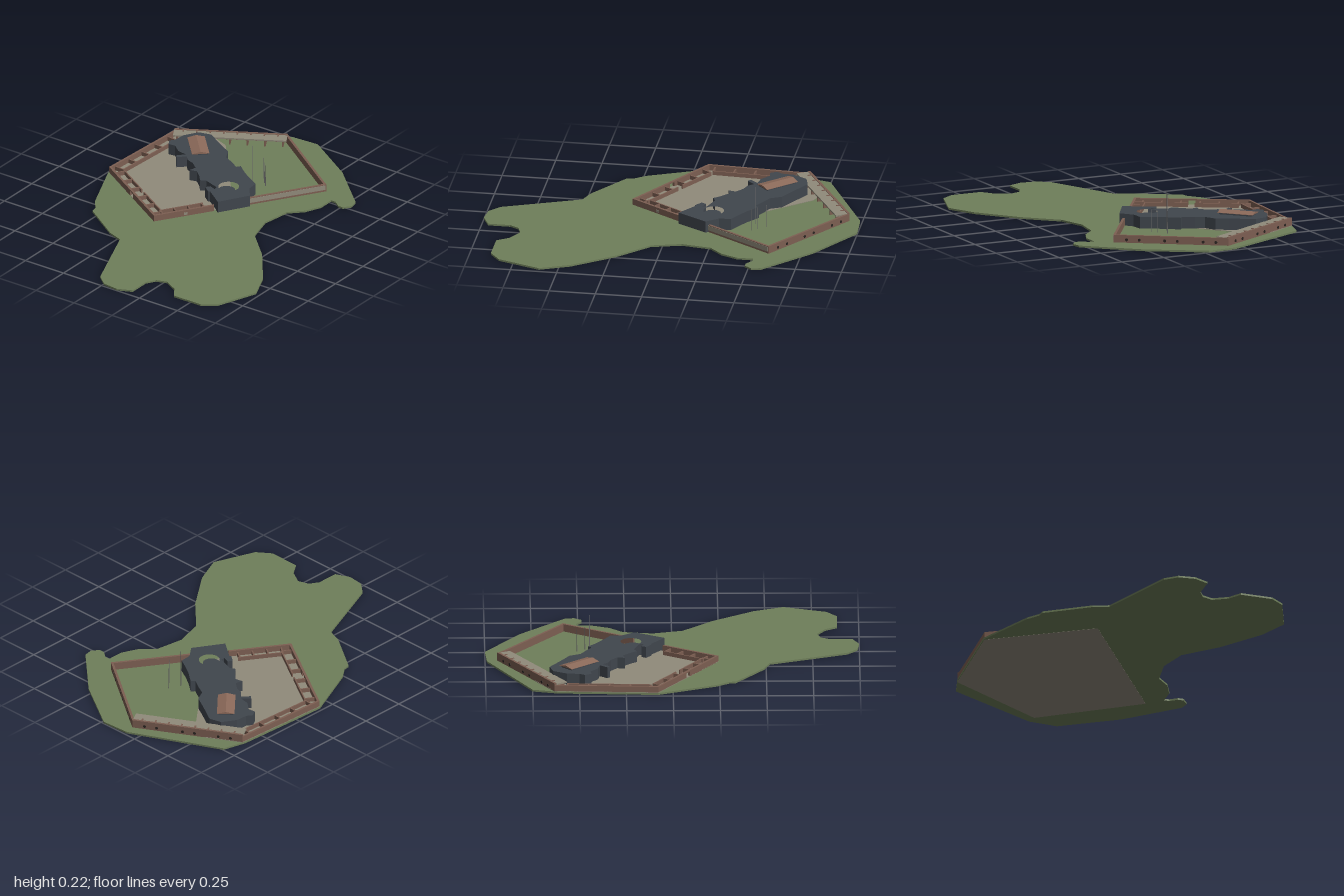
import * as THREE from 'three';

const mat = (name, color) => {
  const m = new THREE.MeshStandardMaterial({ color });
  m.name = name;
  return m;
};

export function createModel() {
  const model = new THREE.Group();
  model.name = 'islandFort';
  const grass = mat('grass', 0x6f7f5a);
  const paving = mat('paving', 0x908b7b);
  const brick = mat('brick', 0x7d5f52);
  const slate = mat('slate', 0x40464d);
  const roofTile = mat('roofTile', 0x8c6a5a);
  const steel = mat('steel', 0x6c6c6c);
  const shadow = mat('opening', 0x2b2522);

  const add = (parent, name, geo, material, x = 0, y = 0, z = 0) => {
    const m = new THREE.Mesh(geo, material);
    m.name = name;
    m.position.set(x, y, z);
    parent.add(m);
    return m;
  };
  // Flat slab from a plan outline of [x, z] points
  const slab = (name, pts, y0, y1, material, hole) => {
    const shape = new THREE.Shape(pts.map(([x, z]) => new THREE.Vector2(x, -z)));
    if (hole) shape.holes.push(new THREE.Path().absarc(hole[0], -hole[1], hole[2], 0, Math.PI * 2, true));
    const geo = new THREE.ExtrudeGeometry(shape, { depth: y1 - y0, bevelEnabled: false, curveSegments: 12 });
    geo.rotateX(-Math.PI / 2);
    return add(model, name, geo, material, 0, y0, 0);
  };

  // Island
  slab('island', [
    [0.08, -0.735], [0.62, -0.705], [0.75, -0.67], [0.99, -0.18], [1, -0.02], [0.81, 0.28], [0.57, 0.54],
    [0.52, 0.55], [0.48, 0.52], [0.48, 0.49], [0.51, 0.45], [0.51, 0.42], [0.42, 0.42], [0.33, 0.38],
    [0.26, 0.31], [0.1, 0.285], [-0.06, 0.33], [-0.22, 0.495], [-0.44, 0.66], [-0.6, 0.73], [-0.83, 0.645],
    [-0.885, 0.57], [-0.885, 0.395], [-0.82, 0.35], [-0.775, 0.27], [-0.795, 0.21], [-0.845, 0.18],
    [-0.965, 0.18], [-1, 0.1], [-0.99, 0.01], [-0.935, -0.055], [-0.52, -0.225], [-0.49, -0.31],
    [-0.335, -0.54], [-0.3, -0.545], [-0.235, -0.595],
  ], 0.001, 0.011, grass);

  // Foundation under the whole fort, and the paved half of the yard
  const A = [0.08, -0.73], B = [0.635, -0.7], C = [0.935, -0.17], D = [0.58, 0.34], E = [-0.245, -0.2];
  slab('foundation', [A, B, C, D, E], 0, 0.001, paving);
  slab('courtyard', [A, B, [0.74, -0.52], [0.7, -0.41], [0.45, -0.2], [0.16, 0.02], [0.06, -0.01], E], 0.011, 0.014, paving);

  // Each side gets a local frame: x runs along the wall, z points into the fort
  const side = (name, p, q) => {
    const dx = q[0] - p[0], dz = q[1] - p[1];
    const g = new THREE.Group();
    g.name = name;
    g.position.set(p[0], 0, p[1]);
    g.rotation.y = -Math.atan2(dz, dx);
    g.userData.length = Math.hypot(dx, dz);
    model.add(g);
    return g;
  };
  const block = (g, name, s0, s1, d0, d1, y0, y1, material = brick) =>
    add(g, name, new THREE.BoxGeometry(s1 - s0, y1 - y0, d1 - d0), material,
      (s0 + s1) / 2, (y0 + y1) / 2, (d0 + d1) / 2);
  const dividers = (g, s0, s1, n, depth, y0, y1) => {
    for (let i = 0; i < n; i++) {
      const s = s0 + ((s1 - s0) * i) / (n - 1);
      block(g, 'divider', s - 0.004, s + 0.004, 0.01, depth, y0, y1);
    }
  };
  const loopholes = (g, ts) => ts.forEach((t) => {
    const m = add(g, 'loophole', new THREE.CylinderGeometry(0.008, 0.008, 0.004, 10), shadow,
      t * g.userData.length, 0.027, 0);
    m.rotation.x = Math.PI / 2;
  });
  const T = 0.013, W = 0.07;

  // Back wall with roofless rooms
  const back = side('backWall', A, B);
  const lb = back.userData.length;
  block(back, 'outerWall', 0, lb, 0, T, 0.001, 0.045);
  block(back, 'innerWall', 0.04, lb - 0.07, W - 0.007, W, 0.011, 0.036);
  dividers(back, 0.04, lb - 0.07, 5, W, 0.011, 0.036);

  // Gate wall with roofless rooms, split by a gateway
  const gate = side('gateWall', E, A);
  const lg = gate.userData.length;
  for (const [a, b] of [[0, lg / 2 - 0.018], [lg / 2 + 0.018, lg]]) {
    block(gate, 'outerWall', a, b, 0, T, 0.001, 0.045);
    block(gate, 'innerWall', Math.max(a, 0.05), Math.min(b, lg - 0.06), W - 0.007, W, 0.011, 0.036);
  }
  block(gate, 'gateLintel', lg / 2 - 0.018, lg / 2 + 0.018, 0, T, 0.038, 0.045);
  dividers(gate, 0.05, lg - 0.06, 6, W, 0.011, 0.036);

  // Sea wall with loopholes and a raised terrace
  const sea = side('seaWall', B, C);
  const ls = sea.userData.length;
  block(sea, 'outerWall', 0, ls, 0, T, 0.001, 0.056);
  block(sea, 'terrace', 0, ls, T, 0.078, 0.045, 0.053, paving);
  dividers(sea, 0.02, ls - 0.02, 7, 0.072, 0.011, 0.045);
  dividers(sea, 0.05, ls - 0.05, 8, 0.032, 0.053, 0.056);
  loopholes(sea, [0.11, 0.22, 0.435, 0.545, 0.78, 0.89]);

  // Lower sea wall
  const lower = side('lowerSeaWall', C, D);
  block(lower, 'outerWall', 0, lower.userData.length, 0, T, 0.001, 0.052);
  loopholes(lower, [0.11, 0.22, 0.445, 0.555, 0.775, 0.885]);

  // Land wall, interrupted by the long building
  const land = side('landWall', D, E);
  const ll = land.userData.length;
  block(land, 'outerWall', 0, 0.46 * ll, 0, T, 0.001, 0.052);
  block(land, 'facing', 0.005, 0.458 * ll, -0.002, 0, 0.022, 0.048, paving);
  block(land, 'outerWallWest', 0.65 * ll, ll, 0, T, 0.001, 0.045);
  block(land, 'innerWall', 0.69 * ll, ll - 0.06, W - 0.007, W, 0.011, 0.036);
  block(land, 'doorway', 0.805 * ll, 0.825 * ll, -0.002, 0, 0.018, 0.032, paving);
  dividers(land, 0.7 * ll, ll - 0.06, 4, W, 0.011, 0.036);

  // Long battery building with a round gun pit
  slab('battery', [
    [0.04, 0.015], [0.115, -0.09], [0.11, -0.1], [0.14, -0.14], [0.165, -0.125], [0.15, -0.085], [0.175, -0.09],
    [0.205, -0.18], [0.19, -0.21], [0.225, -0.24], [0.265, -0.285], [0.255, -0.325], [0.295, -0.315],
    [0.33, -0.36], [0.345, -0.405], [0.375, -0.43], [0.335, -0.47], [0.35, -0.485], [0.39, -0.45],
    [0.4, -0.505], [0.44, -0.555], [0.435, -0.595], [0.47, -0.615], [0.5, -0.595], [0.565, -0.59],
    [0.64, -0.545], [0.658, -0.475], [0.62, -0.41], [0.585, -0.35], [0.55, -0.285], [0.49, -0.255],
    [0.465, -0.205], [0.43, -0.145], [0.45, -0.13], [0.4, -0.065], [0.365, -0.01], [0.33, 0.055],
    [0.265, 0.06], [0.2, 0.112],
  ], 0.011, 0.075, slate, [0.22, -0.043, 0.056]);
  add(model, 'gunPlatform', new THREE.CylinderGeometry(0.046, 0.046, 0.045, 20), slate, 0.212, 0.0335, -0.051);

  // Lookout hut on top of the battery
  const hut = new THREE.Group();
  hut.name = 'lookoutHut';
  hut.position.set(0.5, 0.075, -0.445);
  hut.rotation.y = Math.atan2(0.68, 0.73);
  model.add(hut);
  add(hut, 'hutWalls', new THREE.BoxGeometry(0.185, 0.008, 0.08), slate, 0, 0.004, 0);
  const gable = new THREE.Shape([[-0.047, 0], [0.047, 0], [0.047, 0.002], [0, 0.013], [-0.047, 0.002]]
    .map(([x, y]) => new THREE.Vector2(x, y)));
  const roof = new THREE.ExtrudeGeometry(gable, { depth: 0.2, bevelEnabled: false });
  roof.translate(0, 0, -0.1).rotateY(Math.PI / 2);
  add(hut, 'hutRoof', roof, roofTile, 0, 0.008, 0);

  // Masts on the lawn
  for (const [x, z, top] of [[0.443, -0.05, 0.225], [0.44, 0.04, 0.135], [0.465, 0.016, 0.135], [0.508, -0.02, 0.135]]) {
    add(model, 'mast', new THREE.CylinderGeometry(0.0015, 0.002, top - 0.011, 6), steel, x, (top + 0.011) / 2, z);
  }
  return model;
}
